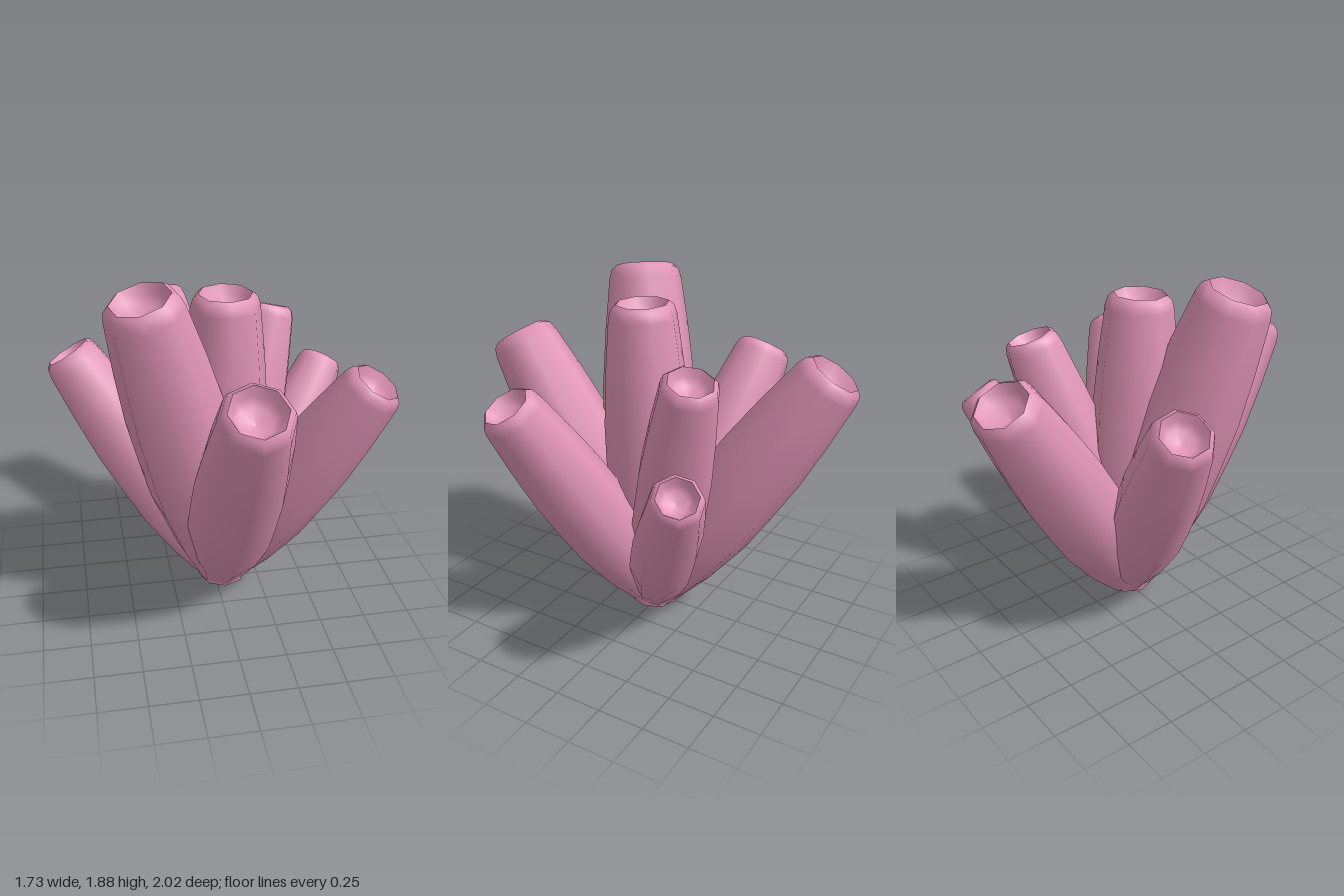
import * as THREE from 'three';

const coralPink = new THREE.MeshStandardMaterial({ color: 0xe094b4 });
coralPink.name = 'coralPink';

// One eight-sided tube along +y: closed base, swollen body, bevelled lip and hollow cup.
function makeTube(length, r) {
  const tube = new THREE.Group();
  const lathe = (name, points) => {
    const profile = points.map(([x, y]) => new THREE.Vector2(x, y));
    const mesh = new THREE.Mesh(new THREE.LatheGeometry(profile, 8), coralPink);
    mesh.name = name;
    tube.add(mesh);
  };
  const shoulder = length - 0.3 * r;
  lathe('base', [[0, 0], [0.56 * r, 0]]);
  lathe('body', [
    [0.56 * r, 0],
    [0.83 * r, 0.16 * length],
    [r, 0.34 * length],
    [r * 1.01, 0.48 * length],
    [r, 0.63 * length],
    [0.9 * r, 0.8 * length],
    [0.77 * r, shoulder],
    [0.71 * r, length - 0.1 * r],
    [0.59 * r, length],
  ]);
  lathe('cup', [
    [0.59 * r, length],
    [0.48 * r, length - 0.2 * r],
    [0.34 * r, length - 0.38 * r],
    [0, length - 0.45 * r],
  ]);
  return tube;
}

export function createModel() {
  const model = new THREE.Group();
  model.name = 'tubeSponge';

  // name, centre of the lip, greatest radius
  const tubes = [
    ['centreTube', [0.04, 1.75, 0.08], 0.235],
    ['frontTube', [0.04, 1.47, 0.885], 0.24],
    ['tallTube', [-0.41, 1.825, 0.34], 0.26],
    ['backTube', [-0.21, 1.47, -0.88], 0.235],
    ['rightTube', [-0.755, 1.36, -0.26], 0.21],
    ['leftFrontTube', [0.745, 1.36, 0.42], 0.21],
    ['leftBackTube', [0.375, 1.52, -0.39], 0.2],
    ['lowBackTube', [0.745, 1.12, -0.535], 0.175],
  ];

  for (const [name, tip, r] of tubes) {
    const root = new THREE.Vector3(0.04, name === 'centreTube' ? 0.02 : 0.31 * r, 0);
    const axis = new THREE.Vector3(...tip).sub(root);
    const tube = makeTube(axis.length(), r);
    tube.name = name;
    tube.position.copy(root);
    // Turn towards the tip, then lean outwards.
    tube.rotation.order = 'YXZ';
    tube.rotation.y = Math.atan2(axis.x, axis.z);
    tube.rotation.x = Math.atan2(Math.hypot(axis.x, axis.z), axis.y);
    model.add(tube);
  }
  return model;
}
